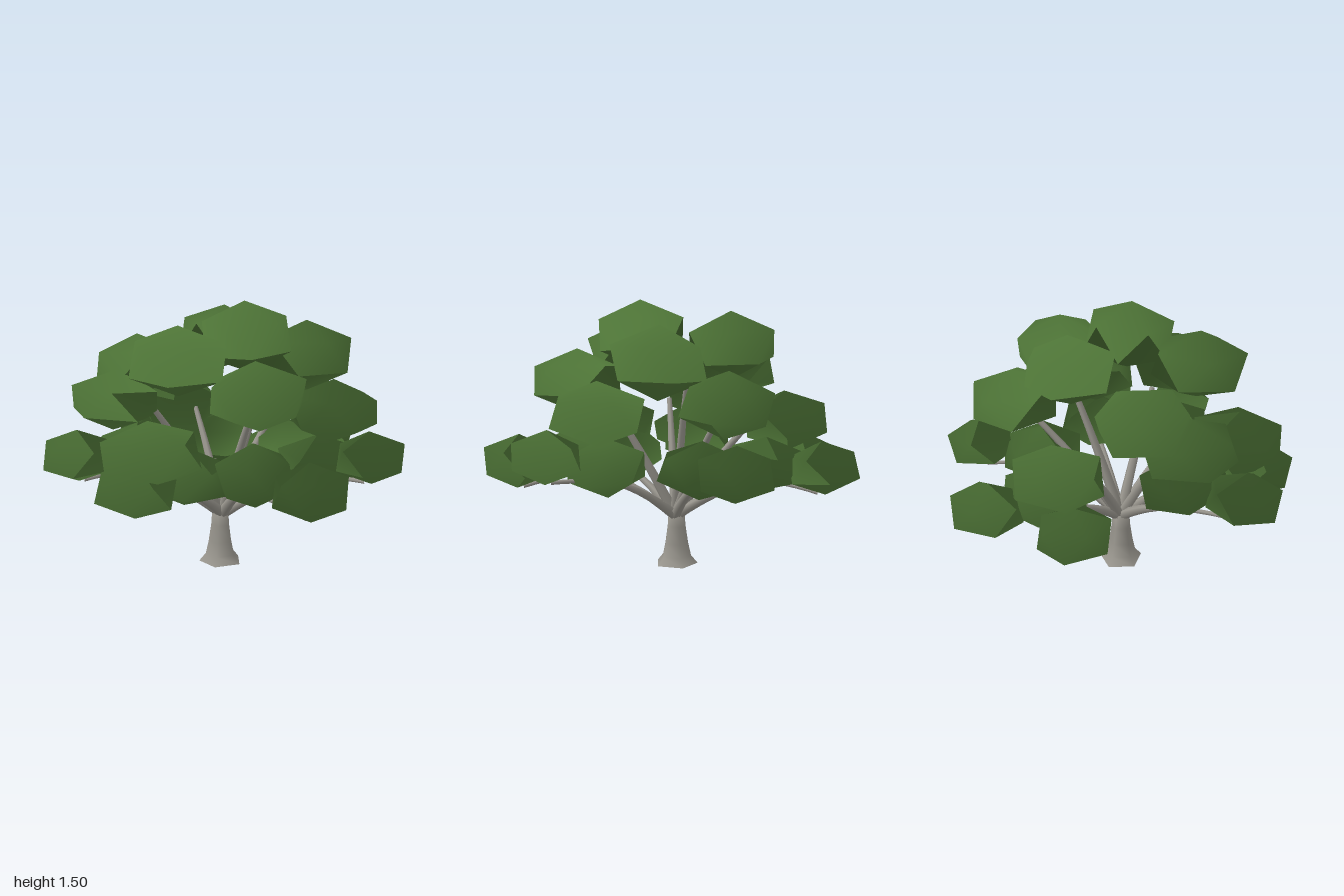
import * as THREE from 'three';

const leaf = new THREE.MeshStandardMaterial({ color: 0x4d7336 });
leaf.name = 'leafGreen';
const bark = new THREE.MeshStandardMaterial({ color: 0x98958d });
bark.name = 'barkGrey';

const crownCentre = new THREE.Vector3(0, 0.72, 0);
const fork = new THREE.Vector3(-0.05, 0.28, 0.04);

// Leaf clumps: centre x, y, z, ring radius, half height
const clumps = [
  // top
  [0.15, 1.31, 0.04, 0.24, 0.19], [-0.3, 1.255, -0.17, 0.24, 0.185],
  [0.07, 1.205, 0.44, 0.255, 0.185], [0.2, 1.18, -0.37, 0.25, 0.195],
  [-0.525, 1.105, 0.27, 0.24, 0.18], [0.46, 1.05, 0.24, 0.25, 0.18],
  // middle
  [-0.44, 0.94, 0.49, 0.245, 0.17], [-0.66, 0.82, -0.13, 0.235, 0.17],
  [0.5, 0.92, -0.27, 0.245, 0.17], [-0.1, 0.97, -0.55, 0.24, 0.175],
  [0.12, 0.75, 0.66, 0.255, 0.18],
  // outer low
  [-0.81, 0.6, -0.01, 0.19, 0.145], [-0.39, 0.675, 0.77, 0.19, 0.145],
  [0.14, 0.59, 0.77, 0.205, 0.145], [0.81, 0.62, 0.21, 0.19, 0.15],
  [0.77, 0.71, -0.27, 0.18, 0.14], [-0.05, 0.655, -0.78, 0.19, 0.145],
  [-0.69, 0.605, -0.51, 0.19, 0.145],
  // inner low
  [-0.34, 0.67, 0.42, 0.2, 0.15], [0.45, 0.64, 0.25, 0.2, 0.17],
  [-0.01, 0.62, -0.43, 0.225, 0.155], [-0.46, 0.605, -0.27, 0.235, 0.15],
  [0.44, 0.63, -0.22, 0.215, 0.16], [0.12, 0.6, 0.43, 0.225, 0.155],
];

// Main limbs: end point, then the outer clumps their twigs carry
const limbs = [
  { end: [-0.34, 0.54, 0.42], twigs: [12] },
  { end: [0.36, 0.54, 0.22], twigs: [14] },
  { end: [0, 0.53, -0.4], twigs: [16] },
  { end: [-0.44, 0.51, -0.22], twigs: [11, 17] },
  { end: [0.38, 0.54, -0.2], twigs: [15] },
  { end: [0.1, 0.5, 0.43], twigs: [13] },
  { end: [-0.46, 0.82, -0.1], twigs: [] },
  { end: [-0.16, 0.91, 0.42], twigs: [] },
  { end: [0, 1.04, -0.25], twigs: [] },
  { end: [-0.09, 0.88, -0.45], twigs: [] },
  { end: [0.31, 0.94, 0.14], twigs: [] },
];

// Flattened twenty-sided clump standing on a corner, shaded as part of one round crown
function makeClump([x, y, z, r, h], i) {
  const g = new THREE.IcosahedronGeometry(1, 0);
  g.rotateZ(-Math.atan(2 / (1 + Math.sqrt(5))));
  g.rotateY(i * 2.4);
  g.scale(r / 0.894, h, r / 0.894);
  g.rotateZ(Math.sin(i * 5.1) * 0.07);
  g.rotateX(Math.cos(i * 3.7) * 0.07);
  g.translate(x, y, z);
  const p = g.attributes.position, v = new THREE.Vector3();
  for (let k = 0; k < p.count; k++) {
    v.fromBufferAttribute(p, k).sub(crownCentre).normalize();
    g.attributes.normal.setXYZ(k, v.x, v.y, v.z);
  }
  const mesh = new THREE.Mesh(g, leaf);
  mesh.name = 'leafClump' + (i + 1);
  return mesh;
}

// Tapered tube bowed upwards between two points
function makeBranch(start, end, bow, r0, r1, name) {
  const mid = start.clone().lerp(end, 0.5);
  mid.y += bow;
  const curve = new THREE.QuadraticBezierCurve3(start, mid, end);
  const segs = 6, sides = 6;
  const g = new THREE.TubeGeometry(curve, segs, 1, sides, false);
  const p = g.attributes.position, v = new THREE.Vector3();
  for (let s = 0; s <= segs; s++) {
    const c = curve.getPointAt(s / segs);
    const r = r0 + (r1 - r0) * (s / segs);
    for (let k = 0; k <= sides; k++) {
      const n = s * (sides + 1) + k;
      v.fromBufferAttribute(p, n).sub(c).multiplyScalar(r).add(c);
      p.setXYZ(n, v.x, v.y, v.z);
    }
  }
  const mesh = new THREE.Mesh(g, bark);
  mesh.name = name;
  return mesh;
}

export function createModel() {
  const tree = new THREE.Group();
  tree.name = 'tree';

  // Five-sided trunk flaring at the ground, closed by a base plate
  const profile = [[0.126, 0], [0.088, 0.045], [0.071, 0.12], [0.056, 0.22], [0.05, 0.3], [0, 0.32]]
    .map(([r, y]) => new THREE.Vector2(r, y));
  const trunk = new THREE.Mesh(new THREE.LatheGeometry(profile, 5), bark);
  trunk.name = 'trunk';
  const base = new THREE.Mesh(new THREE.CircleGeometry(0.126, 5).rotateX(Math.PI / 2).rotateY(-Math.PI / 2), bark);
  base.name = 'trunkBase';
  trunk.add(base);
  trunk.position.set(-0.056, 0, 0.045);
  trunk.rotation.y = 0.59;
  tree.add(trunk);

  const crown = new THREE.Group();
  crown.name = 'crown';
  clumps.forEach((c, i) => crown.add(makeClump(c, i)));

  // Limbs from the fork, with thin twigs running on under the outer clumps
  const branches = new THREE.Group();
  branches.name = 'branches';
  limbs.forEach(({ end, twigs }, i) => {
    const tip = new THREE.Vector3(...end);
    branches.add(makeBranch(fork, tip, 0.05, 0.032, 0.015, 'limb' + (i + 1)));
    for (const t of twigs) {
      const [x, y, z, , h] = clumps[t];
      const twigEnd = new THREE.Vector3(x * 0.97, y - h * 0.95, z * 0.97);
      branches.add(makeBranch(tip, twigEnd, 0.02, 0.015, 0.011, 'twig' + (t + 1)));
    }
  });

  tree.add(crown, branches);
  return tree;
}
